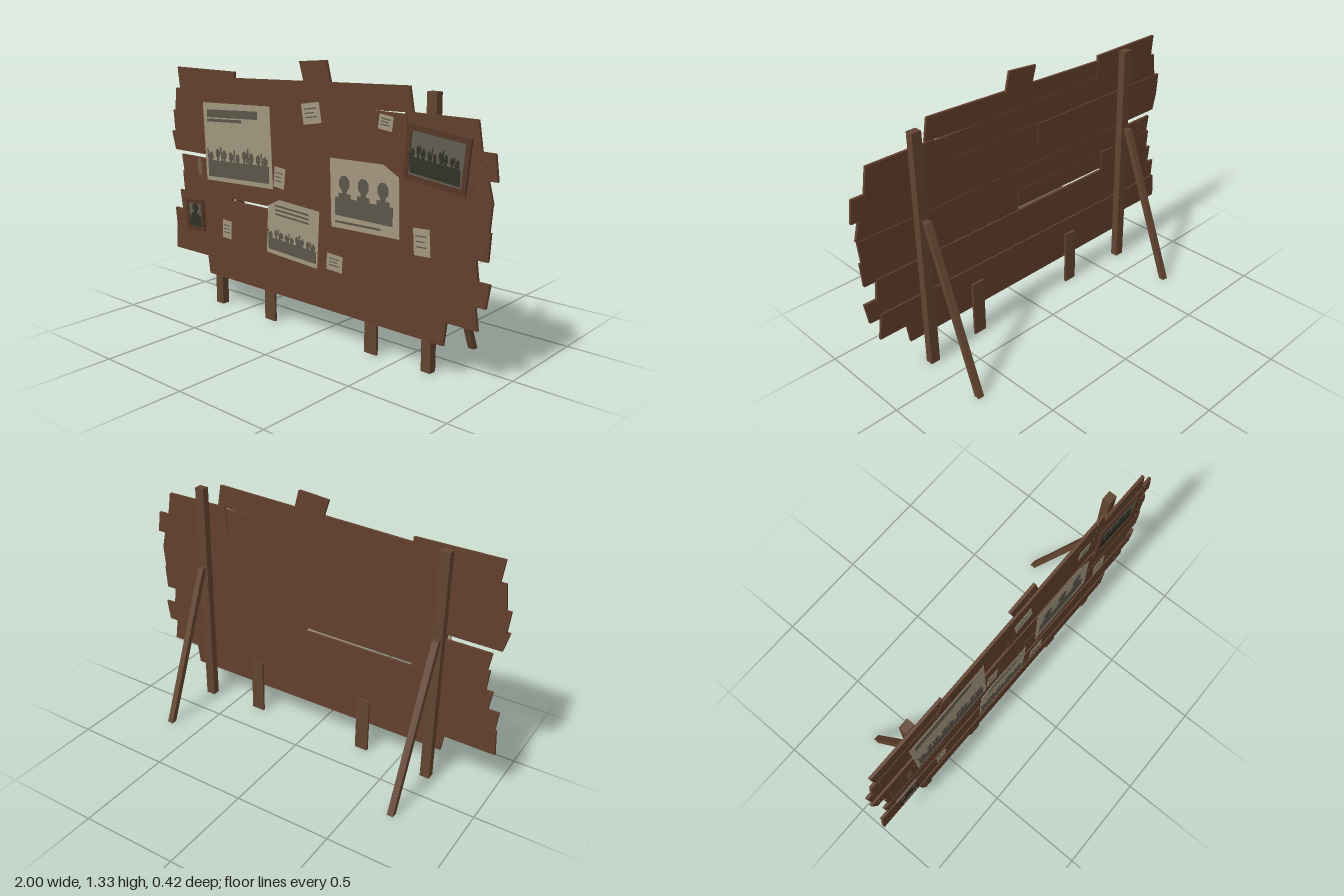
import * as THREE from 'three';
import { mergeGeometries } from 'three/addons/utils/BufferGeometryUtils.js';

const mat = (name, color) => {
  const m = new THREE.MeshStandardMaterial({ color });
  m.name = name;
  return m;
};

const outline = (points, Type = THREE.Shape) => new Type(points.map(([x, y]) => new THREE.Vector2(x, y)));

// Upright plate cut from a shape, its back at z and its front at z + depth
const plate = (shape, z, depth) =>
  new THREE.ExtrudeGeometry(shape, { depth, bevelEnabled: false }).translate(0, 0, z);

const ngon = (x, y, rx, ry, n = 8) => Array.from({ length: n }, (_, i) => {
  const a = (i + 0.5) / n * Math.PI * 2;
  return [x + Math.cos(a) * rx, y + Math.sin(a) * ry];
});

// Slanted bar from (x0, y0) to (x1, y1), t high
const bar = (x0, y0, x1, y1, t) => [[x0, y0], [x1, y1], [x1, y1 + t], [x0, y0 + t]];

// Tilt a polygon slightly and move it to (cx, cy)
const place = (points, cx, cy, tilt) => points.map(([x, y]) => [cx + x - y * tilt, cy + y + x * tilt]);

// Tilted sheet; cut = 1 or -1 snips its right or left top corner
function sheet(cx, cy, w, h, tilt, cut = 0) {
  const points = bar(-w / 2, -h / 2, w / 2, -h / 2, h);
  const snip = [[cut * w / 2, h * 0.35], [cut * w * 0.28, h / 2]];
  if (cut > 0) points.splice(2, 1, ...snip);
  if (cut < 0) points.splice(3, 1, ...snip.reverse());
  return place(points, cx, cy, tilt);
}

// Head and shoulders silhouette standing on y
const bust = (x, y, w, h) => [
  bar(x - w / 2, y, x + w / 2, y, h * 0.45),
  bar(x - w * 0.32, y + h * 0.4, x + w * 0.32, y + h * 0.4, h * 0.16),
  bar(x - w * 0.13, y + h * 0.5, x + w * 0.13, y + h * 0.5, h * 0.2),
  ngon(x, y + h * 0.8, w * 0.3, h * 0.2),
];

// Row of people with some raised arms
function crowd(x0, y0, x1, y1, h, n) {
  const parts = [bar(x0, y0, x1, y1, h * 0.5)];
  const step = (x1 - x0) / n;
  for (let i = 0; i < n; i++) {
    const x = x0 + step * (i + 0.5);
    const y = y0 + (y1 - y0) * (i + 0.5) / n + h * (0.62 + (i * 3 % 4) / 30);
    parts.push(ngon(x, y, step * 0.33, h * 0.15));
    parts.push(bar(x - step * 0.15, y - h * 0.3, x + step * 0.15, y - h * 0.3, h * 0.25));
    if (i % 3 !== 1) {
      const side = i % 2 ? 1 : -1;
      const arm = sheet(0, 0, step * 0.2, h * 0.45, -side * 0.15);
      parts.push(place(arm, x + side * step * 0.45, y, 0));
    }
  }
  return parts;
}

export function createModel() {
  const group = new THREE.Group();
  const wood = mat('plank wood', 0x613f2b);
  const postWood = mat('post wood', 0x62442f);
  const frameWood = mat('frame wood', 0x543626);
  const paper = mat('paper', 0xa1967d);
  const ink = mat('print', 0x5b554a);
  const oldPaper = mat('old paper', 0x6f5b46);
  const photo = mat('photo ground', 0x625c50);
  const dark = mat('photo figures', 0x2f3024);
  const nailMetal = mat('nail metal', 0x5e5440);

  const add = (name, geometry, material) => {
    const mesh = new THREE.Mesh(geometry, material);
    mesh.name = name;
    group.add(mesh);
    return mesh;
  };
  const addPlates = (name, polygons, z, depth, material) =>
    add(name, mergeGeometries(polygons.map(p => plate(outline(p), z, depth))), material);

  // Planks in staggered layers, each nailed at both ends
  let layer = 0;
  const nails = [];
  function plank(top, bottom, left, leftSlant, right, rightSlant, rise = 0) {
    const z = 0.175 + (layer++ * 2 % 5) * 0.0025;
    const points = [[left, top], [right, top + rise], [right + rightSlant, bottom + rise], [left + leftSlant, bottom]];
    add('plank', plate(outline(points), z, 0.014), wood);
    for (const f of [0.28, 0.72]) {
      const y = bottom + (top - bottom) * f;
      for (const [x, up] of [[left + 0.04, 0], [right - 0.04, rise]]) {
        nails.push(plate(outline(ngon(x, y + up, 0.005, 0.005, 6)), z + 0.014, 0.001));
      }
    }
  }
  // top cap and upper rows
  plank(1.315, 1.215, -0.065, 0.03, 0.1, 0.025, 0.014);
  plank(1.24, 1.115, -0.93, 0.015, -0.5, 0);
  plank(1.21, 1.1, -0.51, -0.04, 0.57, 0.02, 0.04);
  plank(1.14, 1.01, 0.545, -0.02, 0.9, 0.022);
  plank(1.13, 1.01, -0.945, -0.015, 0.56, 0);
  // middle rows
  plank(1.01, 0.897, -0.985, 0.01, -0.07, 0);
  plank(1.015, 0.903, -0.07, 0, 0.985, 0.015);
  plank(0.9, 0.803, -0.99, 0.025, 0.96, 0.025, 0.005);
  plank(0.78, 0.685, -0.925, 0.015, -0.69, 0);
  plank(0.806, 0.685, -0.7, 0, 0.98, -0.01);
  // rows around the narrow slot
  plank(0.69, 0.58, -0.925, 0.01, -0.54, 0);
  plank(0.69, 0.598, -0.54, 0, 0.06, 0, 0.004);
  plank(0.695, 0.572, 0.06, 0, 0.98, -0.008);
  plank(0.583, 0.477, -0.95, 0.015, 0.91, 0.015);
  // lower rows
  plank(0.48, 0.372, -0.99, 0.01, 0.985, -0.017);
  plank(0.383, 0.252, -0.99, -0.01, 0.91, 0.02, 0.012);
  plank(0.275, 0.162, -0.74, 0.015, 0.78, -0.015, -0.005);
  add('nails', mergeGeometries(nails), nailMetal);

  // Posts, leaning back struts and short centre legs
  const strutSide = outline([[0.135, 0.8], [0.105, 0.8], [-0.21, 0], [-0.18, 0]]);
  for (const x of [-0.675, 0.666]) {
    add('post', new THREE.BoxGeometry(0.05, 1.23, 0.04).translate(x, 0.615, 0.155), postWood);
    const strut = add('strut', plate(strutSide, -0.016, 0.032).rotateY(-Math.PI / 2), postWood);
    strut.position.x = x;
    strut.rotation.y = -0.04;
  }
  for (const x of [-0.297, 0.355]) {
    add('shortLeg', new THREE.BoxGeometry(0.07, 0.3, 0.013).translate(x, 0.15, 0.1685), postWood);
  }

  // Posters: crowd, three figures, smaller crowd
  addPlates('posters', [
    sheet(-0.482, 0.883, 0.48, 0.4, 0.04),
    sheet(0.333, 0.74, 0.39, 0.32, 0.025, 1),
    sheet(-0.108, 0.5, 0.335, 0.28, -0.055, -1),
  ], 0.2, 0.0015, paper);
  addPlates('posterPrint', [
    bar(-0.7, 1.0, -0.335, 1.02, 0.04),
    bar(-0.7, 0.978, -0.45, 0.992, 0.015),
    ...crowd(-0.7, 0.695, -0.26, 0.715, 0.17, 9),
    ...[0.22, 0.33, 0.44].flatMap(x => bust(x, 0.635, 0.11, 0.19)),
    bar(0.165, 0.6, 0.43, 0.605, 0.01),
    ...[0, 1, 2].map(i => bar(-0.22, 0.61 - i * 0.021, 0, 0.598 - i * 0.021, 0.009)),
    ...crowd(-0.27, 0.39, 0.045, 0.373, 0.12, 9),
  ], 0.2015, 0.001, ink);

  // Small pinned notes with lines of writing
  const noteSheets = [], noteLines = [];
  function note(x, y, w, h, tilt) {
    noteSheets.push(sheet(x, y, w, h, tilt));
    for (let i = 0; i < 3; i++) {
      const lineY = h * (0.2 - i * 0.2);
      noteLines.push(place(bar(-w * 0.35, lineY, w * (0.3 - i % 2 * 0.12), lineY, 0.005), x, y, tilt));
    }
  }
  note(0.02, 1.085, 0.11, 0.095, 0.17);
  note(0.45, 1.085, 0.075, 0.065, -0.12);
  note(-0.19, 0.755, 0.07, 0.1, -0.12);
  note(0.65, 0.595, 0.085, 0.12, 0.06);
  note(-0.573, 0.43, 0.065, 0.095, -0.05);
  note(0.16, 0.402, 0.095, 0.08, -0.05);
  addPlates('notes', noteSheets, 0.2, 0.0015, paper);
  addPlates('noteWriting', noteLines, 0.2015, 0.001, ink);
  addPlates('oldNote', [sheet(-0.77, 0.732, 0.03, 0.085, 0)], 0.2, 0.0015, oldPaper);

  // Framed photos
  function framed(name, x, y, w, h, tilt, border, figures) {
    const inner = sheet(x, y, w - border * 2, h - border * 2, tilt);
    const rim = outline(sheet(x, y, w, h, tilt));
    rim.holes.push(outline(inner, THREE.Path));
    add(name + 'Frame', plate(rim, 0.2, 0.011), frameWood);
    addPlates(name + 'Ground', [inner], 0.2, 0.006, photo);
    addPlates(name + 'Figures', figures, 0.206, 0.001, dark);
  }
  framed('groupPhoto', 0.718, 0.962, 0.312, 0.234, -0.107, 0.023, crowd(0.583, 0.89, 0.835, 0.862, 0.14, 9));
  framed('portrait', -0.814, 0.469, 0.138, 0.165, 0.06, 0.02, bust(-0.813, 0.405, 0.09, 0.13));

  return group;
}
